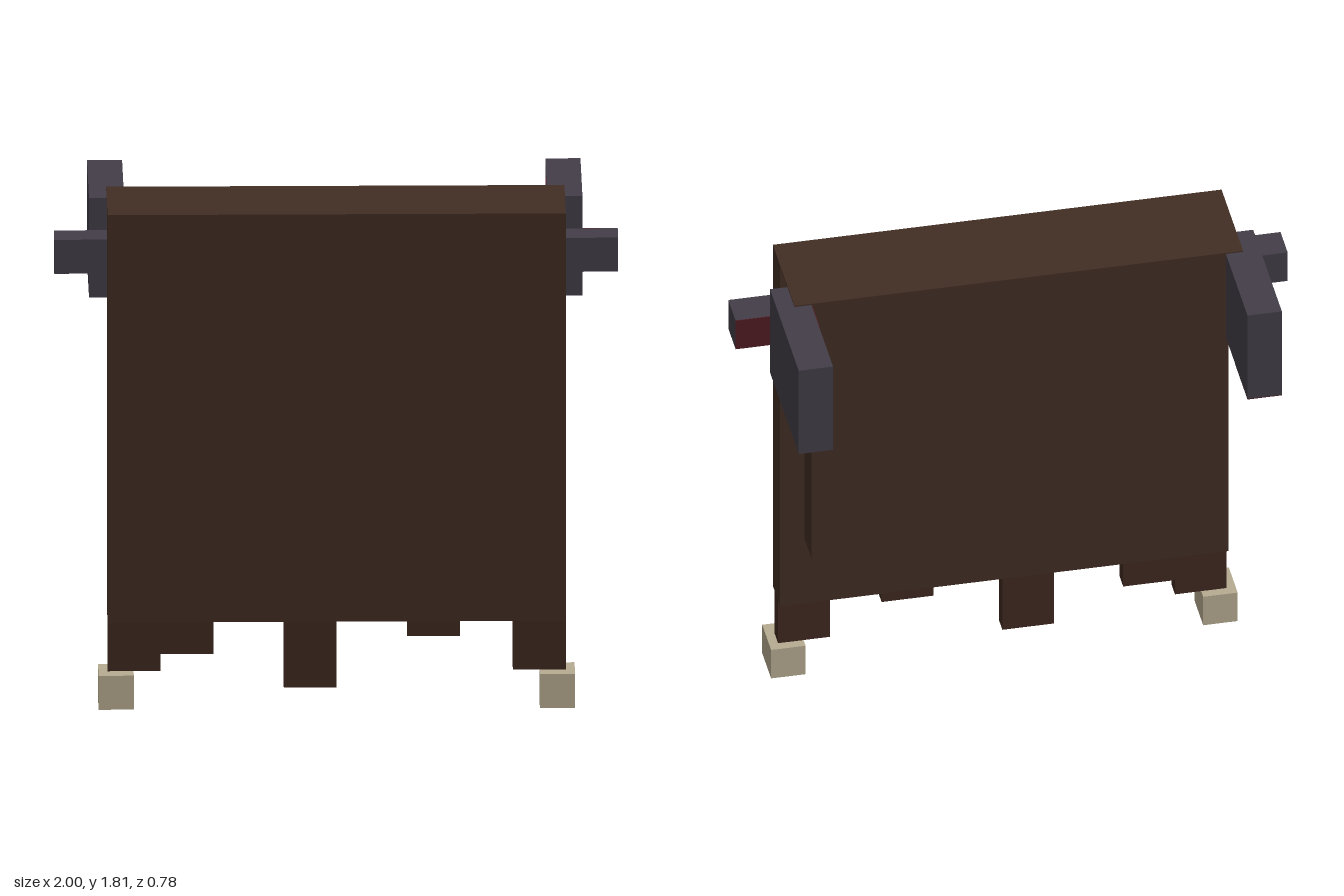
import * as THREE from 'three';

const material = (name, color) => {
  const m = new THREE.MeshStandardMaterial({ color });
  m.name = name;
  return m;
};

export function createModel() {
  const brown = material('dark brown cloth', 0x412d23);
  const tatterBrown = material('reddish brown cloth', 0x3f2820);
  const grey = material('slate grey', 0x423d47);
  const red = material('dark red', 0x501c23);
  const bone = material('pale bone', 0xb7ab91);

  const model = new THREE.Group();
  model.name = 'blockCloak';

  // Box given by its extents along x, y and z
  const box = (name, mat, [x0, x1], [y0, y1], [z0, z1]) => {
    const mesh = new THREE.Mesh(new THREE.BoxGeometry(x1 - x0, y1 - y0, z1 - z0), mat);
    mesh.position.set((x0 + x1) / 2, (y0 + y1) / 2, (z0 + z1) / 2);
    mesh.name = name;
    model.add(mesh);
    return mesh;
  };

  // Cloak: front panel, shorter back panel, bridge between them and thin top cover
  box('frontPanel', brown, [-0.8125, 0.8125], [0.3125, 1.808], [0.235, 0.36]);
  box('backPanel', brown, [-0.75, 0.75], [0.69, 1.808], [-0.015, 0.11]);
  box('bridge', brown, [-0.75, 0.75], [1.6875, 1.808], [0.11, 0.235]);
  box('topCover', brown, [-0.8125, 0.8125], [1.808, 1.8125], [-0.015, 0.36]);

  // Torn strips along the hem: left edge, right edge, bottom
  const strips = [
    [-0.8125, -0.625, 0.125], [-0.625, -0.4375, 0.1875], [-0.1875, 0, 0.0625],
    [0.25, 0.4375, 0.25], [0.625, 0.8125, 0.125],
  ];
  strips.forEach(([x0, x1, y0], i) =>
    box(`hemStrip${i + 1}`, tatterBrown, [x0, x1], [y0, 0.3125], [0.27, 0.33]));

  // Feet, shoulder plates and shoulder pegs on both sides
  for (const s of [1, -1]) {
    const side = s > 0 ? 'left' : 'right';
    const span = (a, b) => (s > 0 ? [a, b] : [-b, -a]);
    box(`${side}Foot`, bone, span(0.72, 0.845), [0, 0.125], [0.235, 0.39]);
    box(`${side}ShoulderPlate`, grey, span(0.7505, 0.875), [1.44, 1.806], [-0.39, 0.11]);
    box(`${side}ShoulderPeg`, grey, span(0.75, 1), [1.5625, 1.6875], [0.11, 0.235]);
  }

  // Red patches: left peg back, left plate inside, right plate underside
  box('leftPegPatch', red, [0.875, 1], [1.5625, 1.6875], [0.107, 0.11]);
  box('leftPlatePatch', red, [0.7475, 0.7505], [1.5625, 1.806], [-0.14, 0.11]);
  box('rightPlatePatch', red, [-0.875, -0.7505], [1.437, 1.44], [-0.39, -0.17]);

  return model;
}
